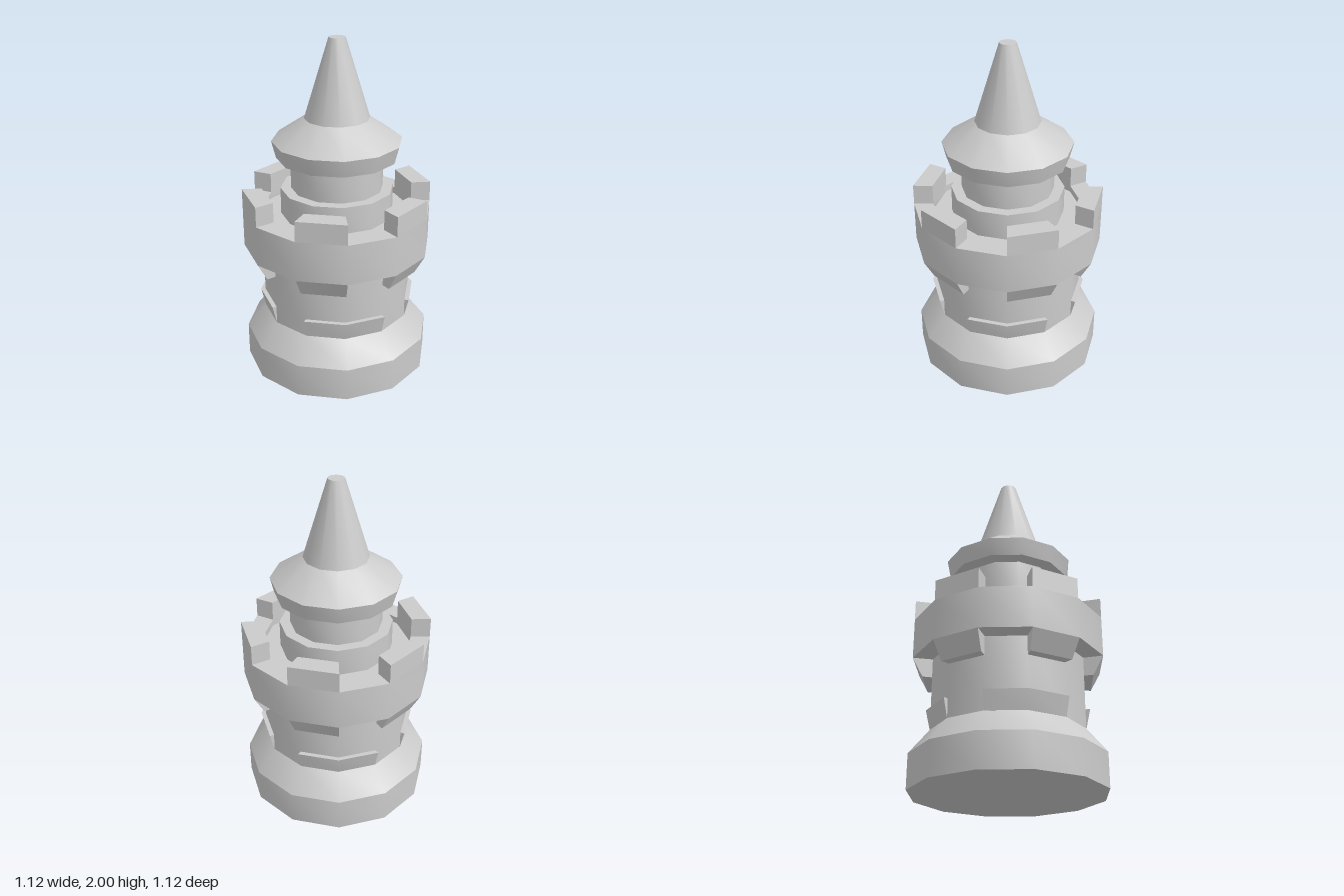
import * as THREE from 'three';
import { mergeGeometries, toCreasedNormals } from 'three/addons/utils/BufferGeometryUtils.js';

const SIDES = 12;
const STEP = (Math.PI * 2) / SIDES;
const CREASE = THREE.MathUtils.degToRad(34);
const material = new THREE.MeshStandardMaterial({ color: 0xcccccc });

const toPoints = (profile) => profile.map(([r, y]) => new THREE.Vector2(r, y));

function makeMesh(name, geometry) {
  const mesh = new THREE.Mesh(toCreasedNormals(geometry, CREASE), material);
  mesh.name = name;
  return mesh;
}

// Twelve-sided turned part; the profile runs from bottom to top
function turned(name, profile) {
  return makeMesh(name, new THREE.LatheGeometry(toPoints(profile), SIDES));
}

// Flat end of a sector, standing at the given angle around the tower
function endCap(profile, angle, flip) {
  const cap = new THREE.ShapeGeometry(new THREE.Shape(toPoints(profile)));
  if (flip) cap.setIndex(Array.from(cap.index.array).reverse());
  return cap.rotateY(angle - Math.PI / 2).toNonIndexed();
}

// Solid sector: counterclockwise (radius, y) profile swept over whole facets
function sector(name, profile, first, count) {
  const start = first * STEP;
  const sweep = new THREE.LatheGeometry(toPoints([...profile, profile[0]]), count, start, count * STEP);
  return makeMesh(name, mergeGeometries([
    sweep.toNonIndexed(),
    endCap(profile, start, false),
    endCap(profile, start + count * STEP, true),
  ]));
}

export function createModel() {
  const tower = new THREE.Group();
  tower.name = 'tower';

  // Plinth, shaft, projecting gallery and its sunken walkway
  tower.add(turned('towerBody', [
    [0, 0], [0.56, 0], [0.56, 0.2], [0.445, 0.34], [0.445, 0.76],
    [0.56, 0.76], [0.56, 1.0], [0.445, 1.0], [0.445, 0.96], [0, 0.96],
  ]));

  // Turret with its stepped foot
  tower.add(turned('turret', [
    [0.334, 0.96], [0.334, 1.12], [0.272, 1.12], [0.272, 1.31],
  ]));

  // Flared roof and truncated spire
  tower.add(turned('roof', [
    [0, 1.31], [0.355, 1.31], [0.38, 1.41], [0.19, 1.54], [0.048, 2.0], [0, 2.0],
  ]));

  // Merlons on every second facet, each with a corbel below
  const merlons = new THREE.Group();
  merlons.name = 'merlons';
  const corbels = new THREE.Group();
  corbels.name = 'corbels';
  for (let i = 0; i < 6; i++) {
    const facet = i * 2 - 1;
    merlons.add(sector('merlon', [[0.445, 1.0], [0.56, 1.0], [0.56, 1.12], [0.445, 1.12]], facet, 1));
    corbels.add(sector('corbel', [[0.44, 0.65], [0.5, 0.65], [0.56, 0.76], [0.44, 0.76]], facet, 1));
  }

  // Four flared ledges above the plinth, each two facets wide
  const ledges = new THREE.Group();
  ledges.name = 'ledges';
  for (let i = 0; i < 4; i++) {
    ledges.add(sector('ledge', [[0.44, 0.34], [0.446, 0.34], [0.472, 0.45], [0.44, 0.45]], i * 3 - 1, 2));
  }

  tower.add(merlons, corbels, ledges);
  return tower;
}
